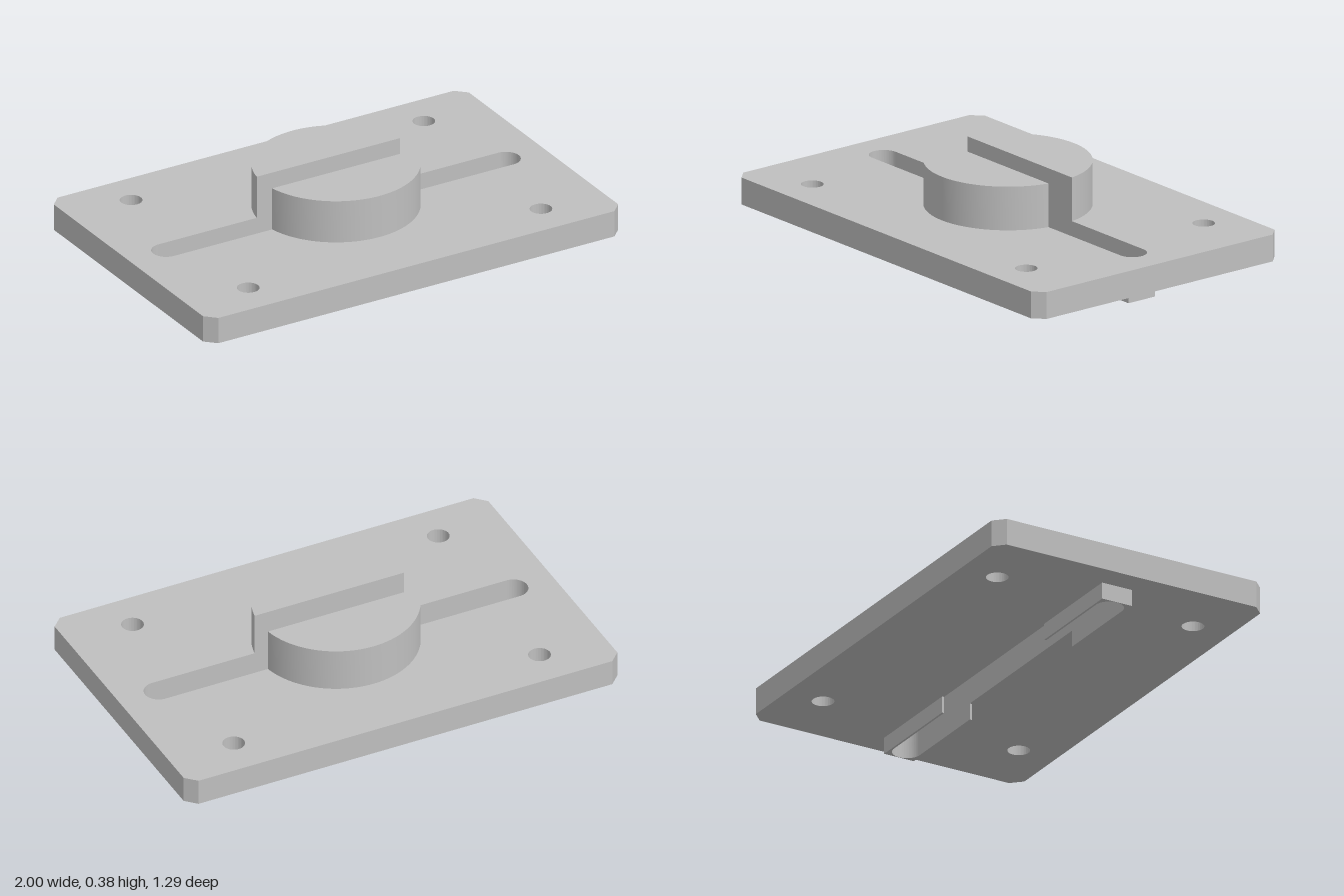
import * as THREE from 'three';
import { toCreasedNormals } from 'three/addons/utils/BufferGeometryUtils.js';

const SLOT_R = 0.062, SLOT_END = 0.88;
const PLATE_Y = 0.073, PLATE_TOP = 0.19, TOP = 0.38;

// Extrude a plan outline upwards from y0 to y1
function slab(shape, y0, y1) {
  const geo = new THREE.ExtrudeGeometry(shape, { depth: y1 - y0, bevelEnabled: false, curveSegments: 40 });
  geo.rotateX(-Math.PI / 2);
  geo.translate(0, y0, 0);
  return toCreasedNormals(geo, 0.5);
}

export function createModel() {
  const group = new THREE.Group();
  const grey = new THREE.MeshStandardMaterial({ color: 0xbfbfbf });
  grey.name = 'grey metal';
  const add = (name, geo, turn = 0) => {
    const mesh = new THREE.Mesh(geo, grey);
    mesh.name = name;
    mesh.rotation.y = turn;
    group.add(mesh);
  };

  // Base plate with chamfered corners
  const w = 1, d = 0.645, c = 0.046;
  const plate = new THREE.Shape([
    [w - c, -d], [w, -d + c], [w, d - c], [w - c, d],
    [-w + c, d], [-w, d - c], [-w, -d + c], [-w + c, -d],
  ].map(([x, y]) => new THREE.Vector2(x, y)));

  // Four bolt holes
  for (const x of [-0.705, 0.705]) for (const y of [-0.47, 0.47]) {
    plate.holes.push(new THREE.Path().absarc(x, y, 0.047, 0, Math.PI * 2, true));
  }

  // Long round-ended slot
  const s = SLOT_END - SLOT_R;
  const slot = new THREE.Path();
  slot.absarc(s, 0, SLOT_R, -Math.PI / 2, Math.PI / 2, false);
  slot.absarc(-s, 0, SLOT_R, Math.PI / 2, Math.PI * 1.5, false);
  slot.closePath();
  plate.holes.push(slot);
  add('basePlate', slab(plate, PLATE_Y, PLATE_TOP));

  // Round boss split in two by the slot
  const a = Math.asin(SLOT_R / 0.35);
  const half = new THREE.Shape();
  half.absarc(0, 0, 0.35, a, Math.PI - a, false);
  half.closePath();
  const halfGeo = slab(half, PLATE_TOP, TOP);

  // Keys under the plate: thin rails wrapping each slot end
  const key = new THREE.Shape();
  key.moveTo(0.413, -0.071);
  key.lineTo(0.882, -0.071);
  key.lineTo(0.882, 0.071);
  key.lineTo(0.413, 0.071);
  key.lineTo(0.413, SLOT_R);
  key.lineTo(s, SLOT_R);
  key.absarc(s, 0, SLOT_R, Math.PI / 2, -Math.PI / 2, true);
  key.lineTo(0.413, -SLOT_R);
  key.closePath();
  const keyGeo = slab(key, 0, PLATE_Y);

  add('backBossHalf', halfGeo);
  add('frontBossHalf', halfGeo, Math.PI);
  add('leftKey', keyGeo);
  add('rightKey', keyGeo, Math.PI);
  return group;
}
